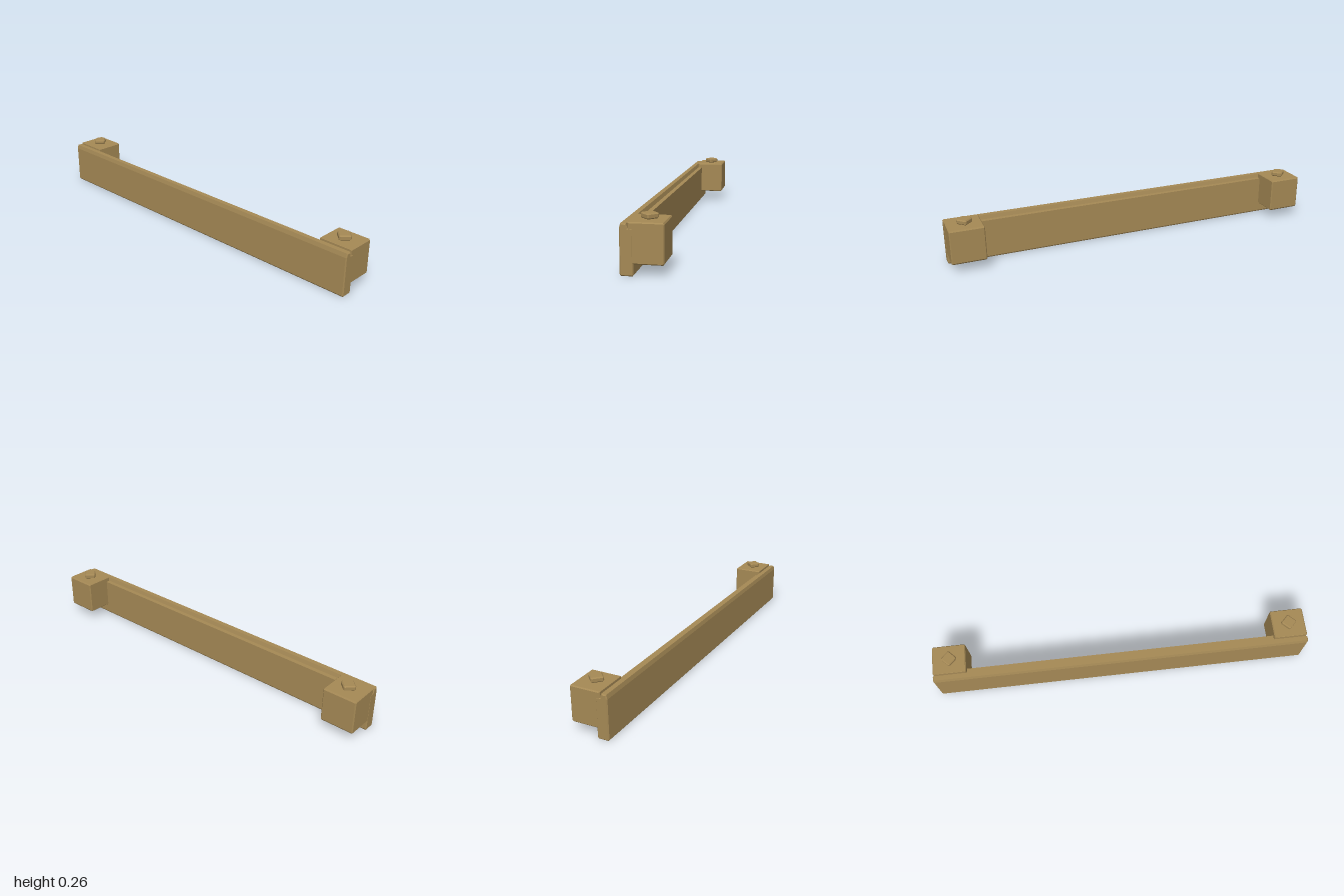
import * as THREE from 'three';

const wood = new THREE.MeshStandardMaterial({ color: 0xa58955 });
wood.name = 'tan wood';

// Extrudes an outline to a total length, centred, with chamfered ends.
function chamferedPrism(points, length, chamfer) {
  const shape = new THREE.Shape(points.map(([u, v]) => new THREE.Vector2(u, v)));
  const geometry = new THREE.ExtrudeGeometry(shape, {
    depth: length - 2 * chamfer, bevelEnabled: true, bevelSegments: 1,
    bevelThickness: chamfer, bevelSize: chamfer, bevelOffset: -chamfer,
  });
  return geometry.translate(0, 0, chamfer - length / 2);
}

function addMesh(parent, name, geometry) {
  const mesh = new THREE.Mesh(geometry, wood);
  mesh.name = name;
  parent.add(mesh);
  return mesh;
}

export function createModel() {
  const group = new THREE.Group();
  group.name = 'beam';

  // Long front board: outline in (z, y), with a low ledge behind its top edge
  const boardOutline = [
    [0.041, 0], [0.091, 0], [0.096, 0.007], [0.096, 0.204], [0.091, 0.225],
    [0.066, 0.225], [0.06, 0.205], [0.037, 0.205], [0.037, 0.007],
  ];
  addMesh(group, 'frontBoard', chamferedPrism(boardOutline, 2, 0.005).rotateY(-Math.PI / 2));

  // End block outline in (z, y), all edges chamfered
  const blockOutline = [
    [-0.09, 0.052], [0.055, 0.052], [0.06, 0.059], [0.06, 0.231], [0.059, 0.232],
    [-0.09, 0.232], [-0.095, 0.225], [-0.095, 0.059],
  ];
  // Diamond bolt head with slightly cut corners
  const r = 0.038, c = 0.004;
  const boltOutline = [
    [r, -c], [r, c], [c, r], [-c, r], [-r, c], [-r, -c], [-c, -r], [c, -r],
  ];

  for (const side of [-1, 1]) {
    const name = side > 0 ? 'left' : 'right';
    const block = addMesh(group, name + 'EndBlock',
      chamferedPrism(blockOutline, 0.176, 0.005).rotateY(-Math.PI / 2));
    block.position.x = side * 0.911;
    const bolt = addMesh(group, name + 'BoltHead',
      chamferedPrism(boltOutline, 0.025, 0.005).rotateX(-Math.PI / 2));
    bolt.position.set(side * 0.908, 0.2455, -0.015);
  }
  return group;
}
